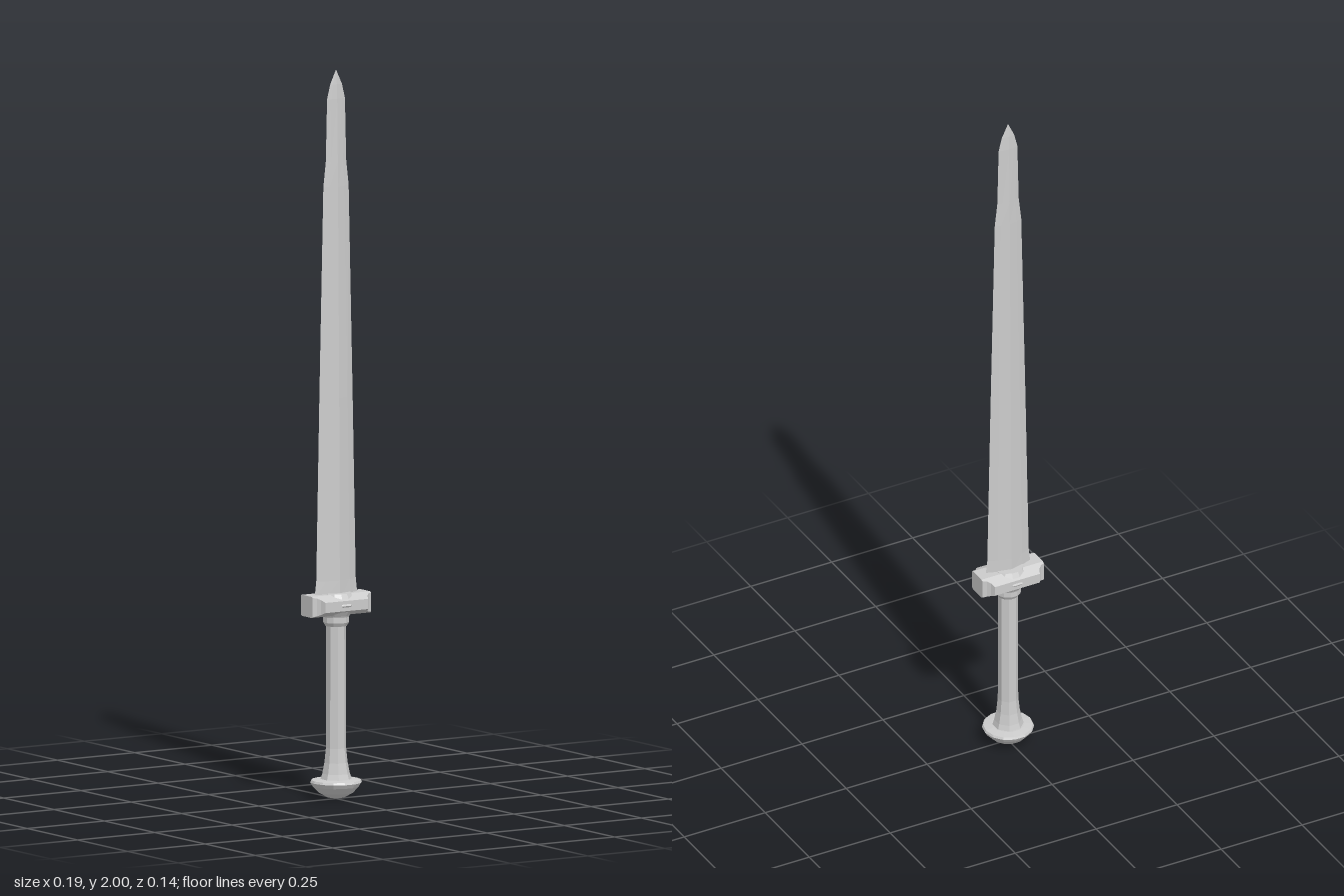
import * as THREE from 'three';

const material = new THREE.MeshStandardMaterial({ color: 0xcccccc, flatShading: true });

// Skin a list of closed rings (each an array of [x, y, z]) and cap both ends.
function loft(rings) {
  const out = [];
  const n = rings[0].length;
  for (let i = 0; i < rings.length - 1; i++) {
    const lower = rings[i], upper = rings[i + 1];
    for (let j = 0; j < n; j++) {
      const k = (j + 1) % n;
      out.push(...lower[j], ...upper[j], ...lower[k]);
      out.push(...lower[k], ...upper[j], ...upper[k]);
    }
  }
  const first = rings[0], last = rings[rings.length - 1];
  for (let j = 1; j < n - 1; j++) {
    out.push(...first[0], ...first[j], ...first[j + 1]);
    out.push(...last[0], ...last[j + 1], ...last[j]);
  }
  const geometry = new THREE.BufferGeometry();
  geometry.setAttribute('position', new THREE.Float32BufferAttribute(out, 3));
  geometry.computeVertexNormals();
  return geometry;
}

function turned(profile, sides) {
  const points = profile.map(([r, y]) => new THREE.Vector2(r, y));
  return new THREE.LatheGeometry(points, sides, Math.PI / sides);
}

// Blade cross-section: a slightly convex diamond of half width w, half thickness t.
function bladeRing([y, w, t]) {
  return [
    [w, y, 0], [w * 0.6, y, t * 0.5], [0, y, t], [-w * 0.6, y, t * 0.5],
    [-w, y, 0], [-w * 0.6, y, -t * 0.5], [0, y, -t], [w * 0.6, y, -t * 0.5],
  ];
}

// Guard cross-section: an octagon cut down to half depth m.
function guardRing(x, m) {
  const y = 0.535, top = 0.029, flat = 0.024;
  const side = top - 0.015 * (m - flat) / 0.03;
  return [
    [m, -side], [m, side], [flat, top], [-flat, top],
    [-m, side], [-m, -side], [-flat, -top], [flat, -top],
  ].map(([z, dy]) => [x, y + dy, z]);
}

export function createModel() {
  const model = new THREE.Group();
  const add = (name, geometry) => {
    const mesh = new THREE.Mesh(geometry, material);
    mesh.name = name;
    model.add(mesh);
  };

  // Tapering blade with a stepped-in point
  add('blade', loft([
    [0.55, 0.07, 0.02], [0.6, 0.064, 0.019], [1.1, 0.054, 0.016], [1.68, 0.041, 0.01],
    [1.75, 0.033, 0.009], [1.92, 0.029, 0.006], [1.96, 0.019, 0.004], [2, 0, 0],
  ].map(bladeRing)));

  // Faceted crossguard, scooped in at the four corners
  const scoop = [[0.095, 0.029], [0.083, 0.033], [0.075, 0.041], [0.069, 0.054]];
  const half = scoop.map(([x, m]) => guardRing(-x, m));
  const otherHalf = scoop.map(([x, m]) => guardRing(x, m)).reverse();
  add('guard', loft([...half, ...otherHalf]));

  // Bulged hub through the middle of the guard
  add('hub', turned([[0, 0.504], [0.038, 0.504], [0.058, 0.535], [0.041, 0.566], [0, 0.566]], 14));

  // Collar below the guard
  add('collar', turned([[0, 0.475], [0.03, 0.475], [0.036, 0.485], [0.036, 0.5], [0.04, 0.51], [0, 0.51]], 12));

  // Octagonal grip flaring into the pommel
  add('grip', turned([[0, 0.045], [0.046, 0.045], [0.038, 0.07], [0.032, 0.1], [0.028, 0.14], [0.027, 0.48], [0, 0.48]], 8));

  // Domed pommel
  add('pommel', turned([[0, 0], [0.025, 0.005], [0.048, 0.018], [0.064, 0.035], [0.071, 0.046], [0.068, 0.052], [0.045, 0.055], [0, 0.055]], 14));

  return model;
}
